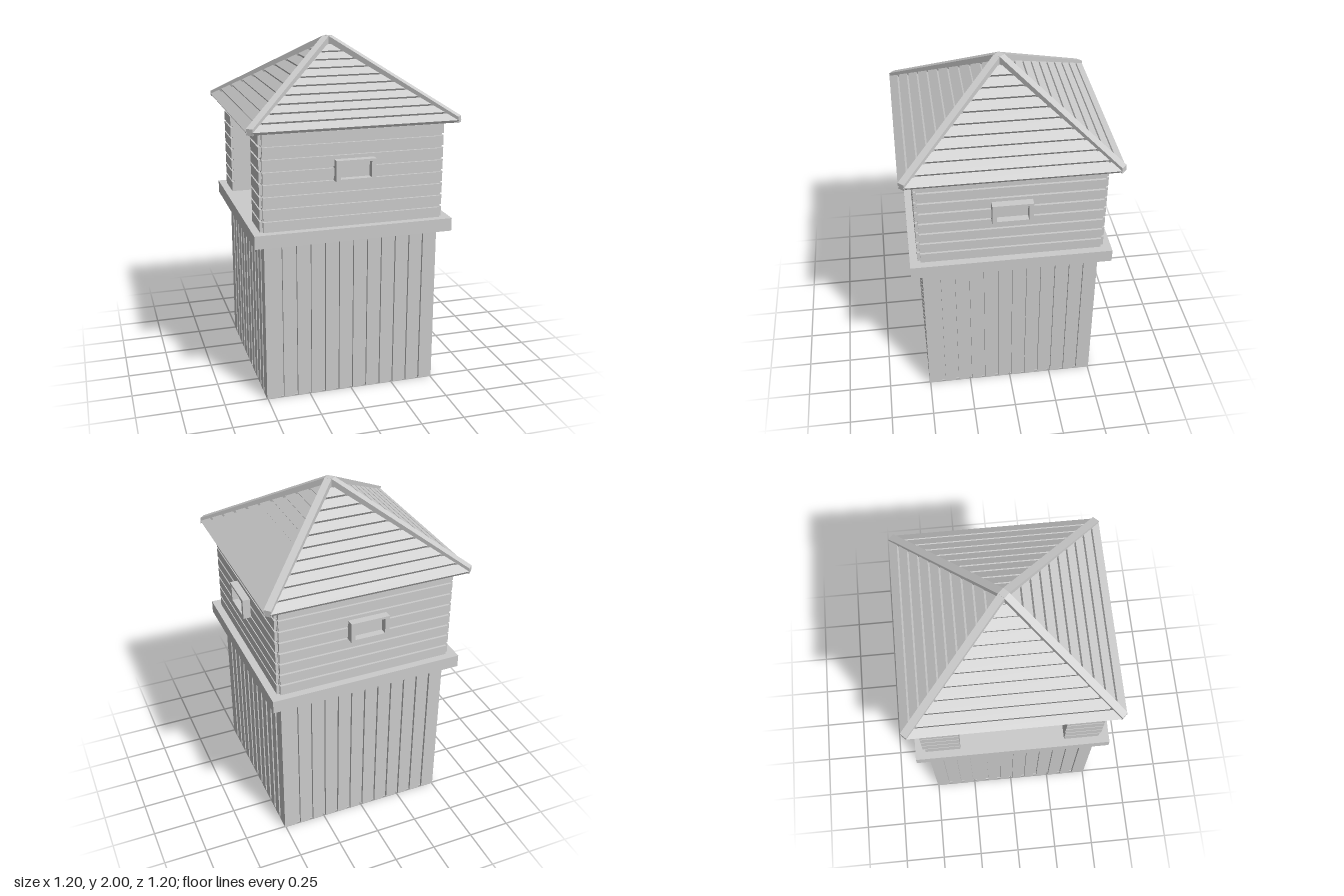
import * as THREE from 'three';

const material = new THREE.MeshStandardMaterial({ color: 0xcccccc, flatShading: true, side: THREE.DoubleSide });

function add(parent, name, geometry) {
  const mesh = new THREE.Mesh(geometry, material);
  mesh.name = name;
  parent.add(mesh);
  return mesh;
}

// Box given by its minimum and maximum corners
function box(x0, x1, y0, y1, z0, z1) {
  return new THREE.BoxGeometry(x1 - x0, y1 - y0, z1 - z0)
    .translate((x0 + x1) / 2, (y0 + y1) / 2, (z0 + z1) / 2);
}

function shapeOf(points) {
  return new THREE.Shape(points.map(([x, y]) => new THREE.Vector2(x, y)));
}

function extrude(shape, depth) {
  return new THREE.ExtrudeGeometry(shape, { depth, bevelEnabled: false });
}

// Plan outline raised upwards from y0 to y1
function prism(shape, y0, y1) {
  return extrude(shape, y1 - y0).rotateX(-Math.PI / 2).translate(0, y0, 0);
}

// Square outline with narrow grooves between vertical boards
function groovedSquare(half, pitch, width, depth) {
  const points = [];
  for (let side = 0; side < 4; side++) {
    const c = Math.round(Math.cos(side * Math.PI / 2)), s = Math.round(Math.sin(side * Math.PI / 2));
    const put = (x, y) => points.push([x * c - y * s, x * s + y * c]);
    put(-half, -half);
    for (let i = -5; i <= 5; i++) {
      const a = i * pitch - width / 2, b = a + width;
      put(a, -half);
      put(a, -half + depth);
      put(b, -half + depth);
      put(b, -half);
    }
  }
  return shapeOf(points);
}

const FLOOR = 1.02, PITCH = 0.069, ROWS = 8, DOOR_ROWS = 7;
const DOOR = 0.305, WALL = 0.513, BOARD_FACE = 0.527;
const SLOPE = 0.65, CORE_APEX = 1.96;

// Horizontal siding for one wall, facing +z
function siding(hasDoor) {
  const group = new THREE.Group();
  group.name = 'siding';
  for (let i = 0; i < ROWS; i++) {
    const y0 = FLOOR + i * PITCH, y1 = y0 + PITCH - 0.011;
    const spans = hasDoor && i < DOOR_ROWS ? [[-0.51, -DOOR], [DOOR, 0.51]] : [[-0.51, 0.51]];
    for (const [a, b] of spans) add(group, 'wallBoard', box(a, b, y0, y1, WALL - 0.005, BOARD_FACE));
  }
  return group;
}

// Framed lookout window, facing +z
function windowBox() {
  const group = new THREE.Group();
  group.name = 'window';
  const rect = (w, h) => [[-w, -h], [w, -h], [w, h], [-w, h]];
  const frame = shapeOf(rect(0.113, 0.059));
  frame.holes.push(new THREE.Path(rect(0.088, 0.046).reverse().map(([x, y]) => new THREE.Vector2(x, y))));
  add(group, 'windowFrame', extrude(frame, 0.06).translate(0, 1.344, 0.511));
  add(group, 'windowPane', box(-0.09, 0.09, 1.296, 1.392, 0.511, 0.53));
  return group;
}

// Roof planks for the slope facing +z
function roofSlope() {
  const group = new THREE.Group();
  group.name = 'roofSlope';
  const angle = Math.atan(SLOPE), step = 0.0568;
  for (let k = 0; k < 10; k++) {
    const outer = 0.59 - k * step, inner = outer - step + 0.01;
    const w0 = Math.max(outer - 0.015, 0), w1 = Math.max(inner - 0.015, 0.001);
    const s0 = -outer / Math.cos(angle), s1 = -inner / Math.cos(angle);
    const plank = extrude(shapeOf([[-w0, s0], [w0, s0], [w1, s1], [-w1, s1]]), 0.018);
    add(group, 'roofPlank', plank.rotateX(angle - Math.PI / 2).translate(0, CORE_APEX, 0));
  }
  return group;
}

export function createModel() {
  const model = new THREE.Group();
  model.name = 'blockhouse';

  // Tower base and platform
  add(model, 'base', prism(groovedSquare(0.505, 0.0828, 0.022, 0.016), 0, 0.95));
  add(model, 'platform', box(-0.57, 0.57, 0.945, FLOOR, -0.57, 0.57));

  // Room with an alcove doorway on the -x side
  const doorTop = FLOOR + DOOR_ROWS * PITCH;
  const plan = shapeOf([
    [-WALL, -WALL], [WALL, -WALL], [WALL, WALL], [-WALL, WALL],
    [-WALL, DOOR], [-0.29, DOOR], [-0.29, -DOOR], [-WALL, -DOOR],
  ]);
  add(model, 'room', prism(plan, FLOOR, doorTop));
  add(model, 'roomTop', box(-WALL, WALL, doorTop, 1.62, -WALL, WALL));

  // Roof deck under the planks
  const eave = 0.583;
  const deck = new THREE.ConeGeometry(eave * Math.SQRT2, eave * SLOPE, 4, 1, true);
  add(model, 'roofDeck', deck.rotateY(Math.PI / 4).translate(0, CORE_APEX - eave * SLOPE / 2, 0));

  // Four sides: siding, window or doorway, roof slope and hip beam
  const hip = shapeOf([[0.02, 1.955], [0.827, 1.575], [0.827, 1.61], [0.02, 2]]);
  for (let i = 0; i < 4; i++) {
    const side = new THREE.Group();
    side.name = ['frontSide', 'leftSide', 'backSide', 'rightSide'][i];
    side.rotation.y = i * Math.PI / 2;
    const hasDoor = i === 3;
    side.add(siding(hasDoor), roofSlope());
    if (!hasDoor) side.add(windowBox());
    add(side, 'hipBeam', extrude(hip, 0.042).translate(0, 0, -0.021).rotateY(Math.PI / 4));
    model.add(side);
  }
  add(model, 'roofCap', box(-0.021, 0.021, 1.95, 2, -0.021, 0.021).rotateY(Math.PI / 4));

  return model;
}
